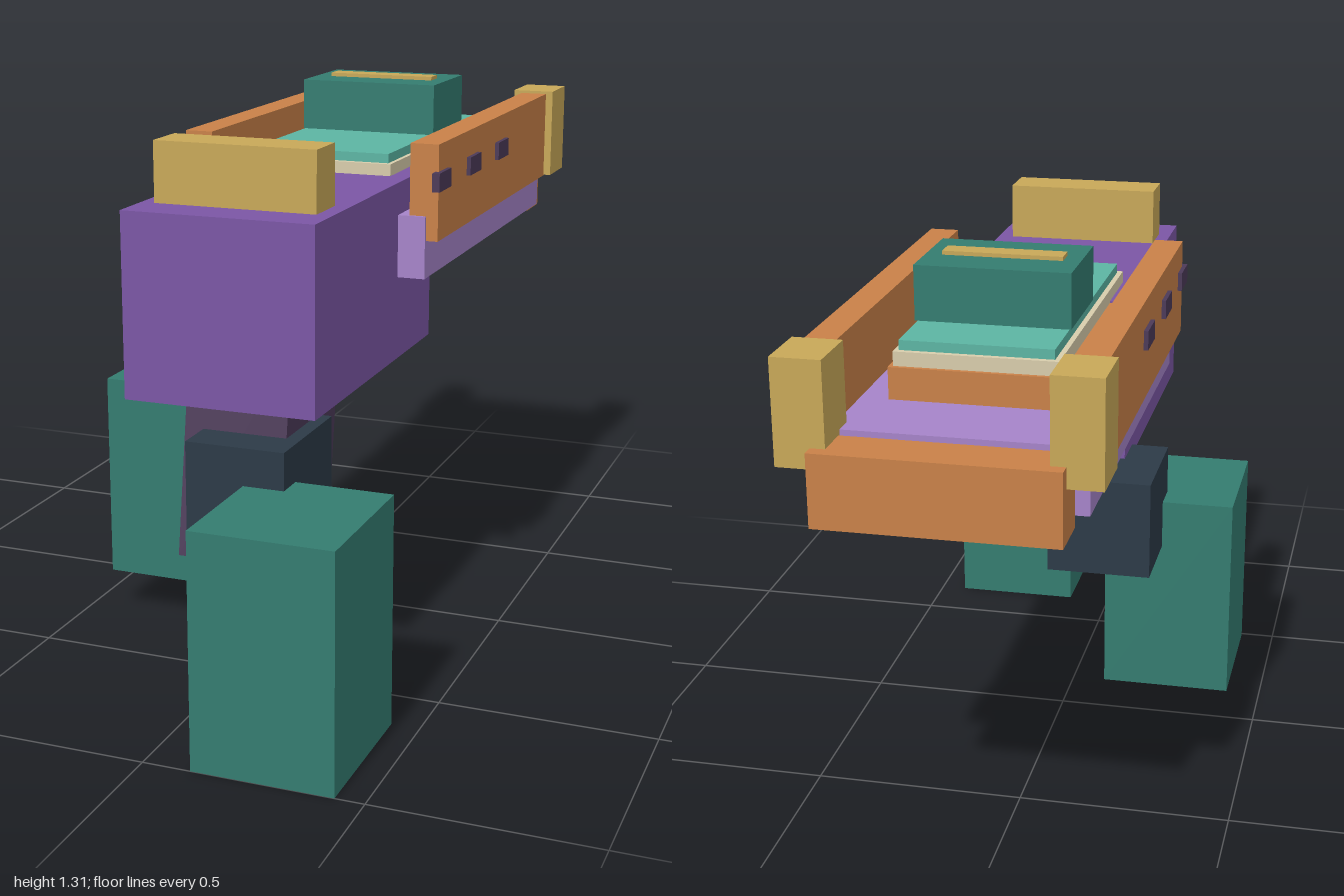
import * as THREE from 'three';

const mat = (name, color) => {
  const m = new THREE.MeshStandardMaterial({ color });
  m.name = name;
  return m;
};

export function createModel() {
  const root = new THREE.Group();
  root.name = 'model';

  const purple = mat('purple', 0x7b56a5);
  const lilac = mat('lilac', 0xa684c9);
  const orange = mat('orange', 0xc98148);
  const gold = mat('gold', 0xc8a858);
  const teal = mat('teal', 0x347c70);
  const mint = mat('mint', 0x5cb5a3);
  const cream = mat('cream', 0xd8cdac);
  const navy = mat('navy', 0x2c3a47);
  const plum = mat('plum', 0x4c3a58);

  // Box given by its extents on each axis
  const box = (name, material, [x0, x1], [y0, y1], [z0, z1]) => {
    const mesh = new THREE.Mesh(new THREE.BoxGeometry(x1 - x0, y1 - y0, z1 - z0), material);
    mesh.position.set((x0 + x1) / 2, (y0 + y1) / 2, (z0 + z1) / 2);
    mesh.name = name;
    root.add(mesh);
    return mesh;
  };

  // Body block with front crest
  box('body', purple, [-0.172, 0.276], [0.7, 1.122], [-0.088, 0.7]);
  box('frontCrest', gold, [-0.14, 0.24], [1.122, 1.26], [0.488, 0.597]);

  // Rear deck and tail board
  box('deck', lilac, [-0.24, 0.342], [0.898, 1.046], [-0.878, 0.162]);
  box('tailBoard', orange, [-0.21, 0.313], [0.874, 1.036], [-1, -0.886]);

  // Side rails, corner posts and studs, mirrored about the deck centre
  const cx = 0.0515;
  for (const [side, s] of [['left', 1], ['right', -1]]) {
    const span = (a, b) => (s > 0 ? [cx + a, cx + b] : [cx - b, cx - a]);
    box(side + 'Rail', orange, span(0.25, 0.319), [0.988, 1.215], [-0.86, 0.155]);
    box(side + 'Post', gold, span(0.229, 0.338), [0.99, 1.222], [-0.97, -0.831]);
    for (const z of [0.133, -0.118, -0.368])
      box(side + 'Stud', plum, span(0.311, 0.329), [1.108, 1.152], [z - 0.046, z + 0.046]);
  }

  // Layered bed on the deck with a strapped case on top
  box('bedBase', orange, [-0.141, 0.238], [1.046, 1.118], [-0.674, 0.086]);
  box('bedPadding', cream, [-0.132, 0.229], [1.112, 1.15], [-0.664, 0.084]);
  box('bedCover', mint, [-0.12, 0.219], [1.15, 1.172], [-0.651, 0.07]);
  box('case', teal, [-0.124, 0.226], [1.172, 1.297], [-0.503, -0.258]);
  box('caseStrap', gold, [-0.085, 0.188], [1.297, 1.306], [-0.404, -0.355]);

  // Tilted central leg
  const leg = box('centralLeg', plum, [-0.07, 0.174], [0.306, 0.806], [0.314, 0.617]);
  leg.rotation.x = -0.157;

  // Joints and feet
  box('rightJoint', navy, [-0.263, -0.015], [0.49, 0.727], [-0.252, 0.016]);
  box('leftJoint', navy, [-0.025, 0.207], [0.373, 0.622], [0.415, 0.706]);
  box('rightFoot', teal, [-0.436, -0.12], [0.105, 0.608], [-0.056, 0.276]);
  box('leftFoot', teal, [0.111, 0.434], [0, 0.536], [0.64, 1]);

  return root;
}
